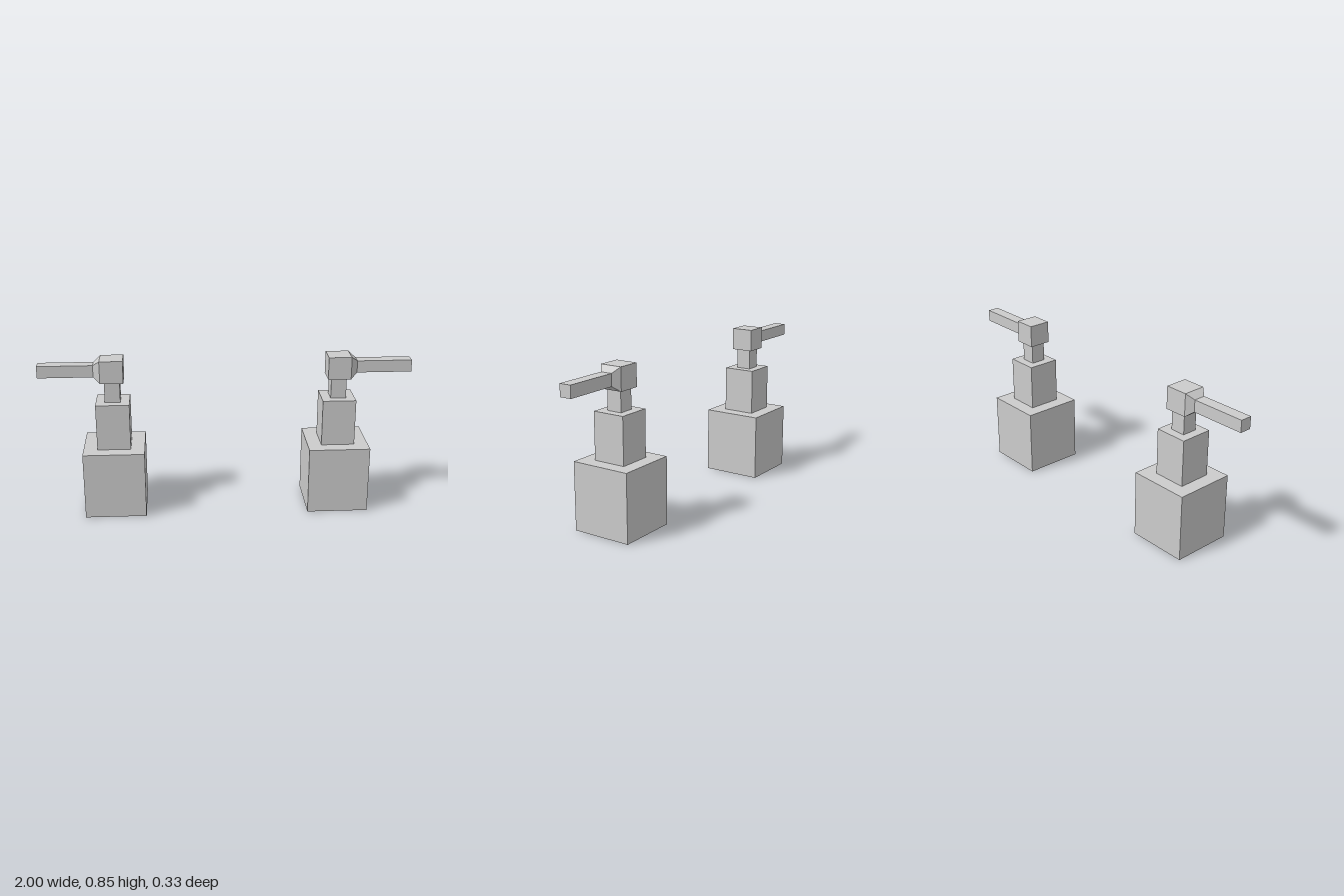
import * as THREE from 'three';

const material = new THREE.MeshStandardMaterial({ color: 0xcccccc, flatShading: true });

// Square-section block standing from y0 to y1
function block(name, width, y0, y1) {
  const mesh = new THREE.Mesh(new THREE.BoxGeometry(width, y1 - y0, width), material);
  mesh.name = name;
  mesh.position.set(0.608, (y0 + y1) / 2, 0);
  return mesh;
}

// Square-section bar along x, from size s0 at x0 to size s1 at x1
function bar(name, x0, x1, s0, s1 = s0) {
  const geometry = new THREE.BoxGeometry(x1 - x0, 1, 1);
  const p = geometry.attributes.position;
  for (let i = 0; i < p.count; i++) {
    const s = p.getX(i) < 0 ? s0 : s1;
    p.setY(i, p.getY(i) * s);
    p.setZ(i, p.getZ(i) * s);
  }
  geometry.computeVertexNormals();
  const mesh = new THREE.Mesh(geometry, material);
  mesh.name = name;
  mesh.position.set((x0 + x1) / 2, 0.792, 0);
  return mesh;
}

function createTower(name) {
  const tower = new THREE.Group();
  tower.name = name;
  tower.add(
    block('base', 0.33, 0, 0.366),
    block('body', 0.18, 0.366, 0.619),
    block('neck', 0.083, 0.619, 0.731),
    bar('head', 0.546, 0.669, 0.123),
    bar('collar', 0.669, 0.705, 0.123, 0.065),
    bar('arm', 0.705, 1, 0.065)
  );
  return tower;
}

export function createModel() {
  const model = new THREE.Group();
  model.name = 'towerPair';
  const left = createTower('leftTower');
  // The tower is symmetric in z, so a half turn mirrors it
  const right = createTower('rightTower');
  right.rotation.y = Math.PI;
  model.add(left, right);
  return model;
}
